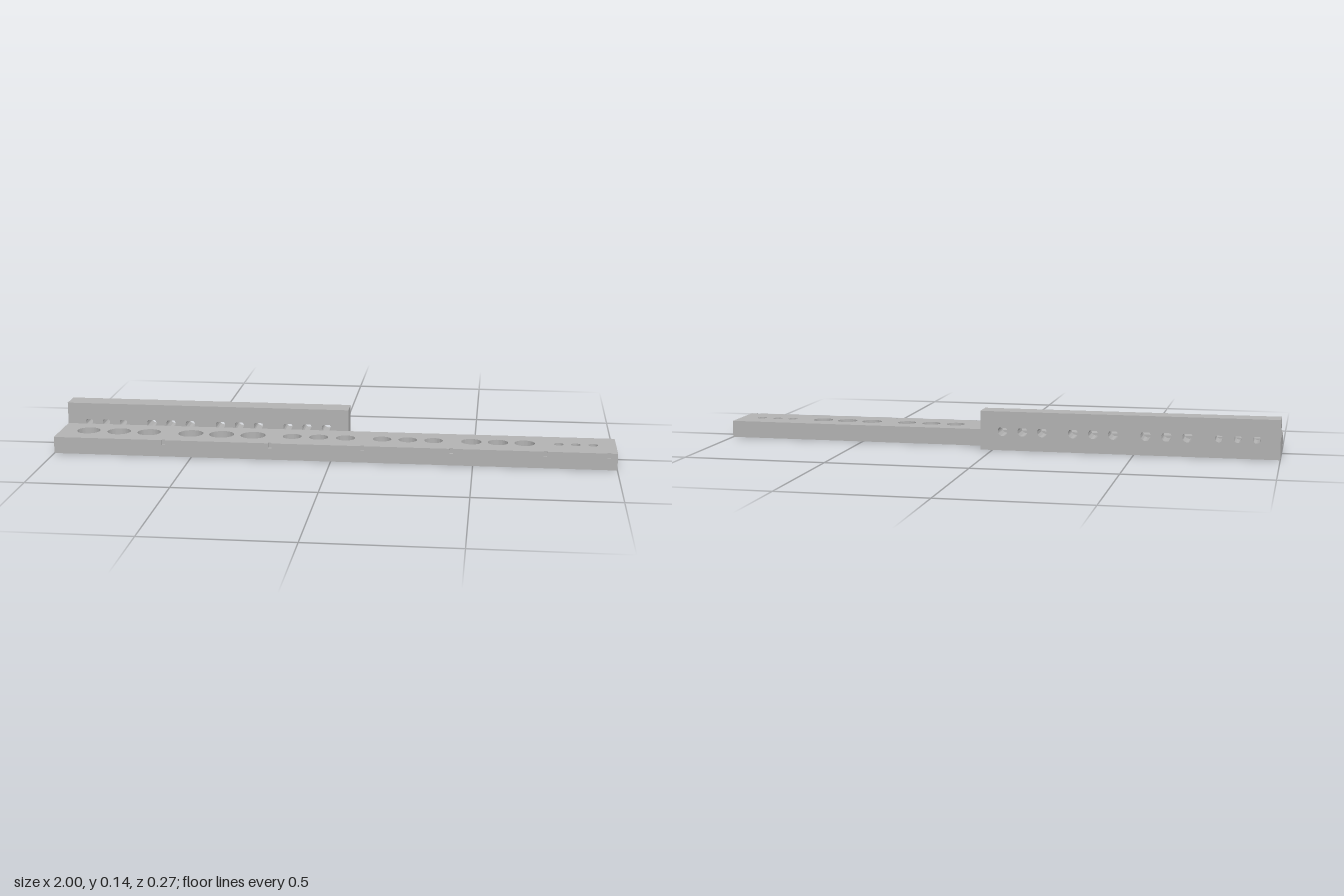
import * as THREE from 'three';
import { toCreasedNormals } from 'three/addons/utils/BufferGeometryUtils.js';

const BACK = -0.137, FRONT = 0.137, STEP = -0.058; // z limits
const BASE_H = 0.06, RAIL_H = 0.138, RAIL_END = 0.043;
const NOTCH_FLOOR = 0.042;

// Round holes in the base: x of each centre in a group of three, radius
const baseHoles = [
  [[-0.898, -0.785, -0.674], 0.042],
  [[-0.52, -0.407, -0.292], 0.045],
  [[-0.15, -0.054, 0.043], 0.034],
  [[0.174, 0.266, 0.358], 0.033],
  [[0.492, 0.586, 0.68], 0.036],
  [[0.8, 0.859, 0.92], 0.017],
];

// Teardrop holes in the rail
const railHoles = [
  [[-0.92, -0.856, -0.792], 0.0135],
  [[-0.685, -0.613, -0.541], 0.0175],
  [[-0.428, -0.358, -0.287], 0.0172],
  [[-0.178, -0.108, -0.037], 0.0172],
];

const notches = [-0.6, -0.217, 0.112, 0.425, 0.751, 0.97];

function extrude(shape, depth) {
  const g = new THREE.ExtrudeGeometry(shape, { depth, bevelEnabled: false, curveSegments: 24 });
  return toCreasedNormals(g, Math.PI / 6);
}

// One horizontal layer of the base, optionally with notches along its front edge
function baseLayer(y0, y1, notched) {
  const s = new THREE.Shape();
  s.moveTo(-1, -FRONT);
  if (notched) {
    const w = 0.006, d = 0.009;
    for (const x of notches) {
      s.lineTo(x - w, -FRONT);
      s.lineTo(x - w, -FRONT + d);
      s.lineTo(x + w, -FRONT + d);
      s.lineTo(x + w, -FRONT);
    }
  }
  s.lineTo(1, -FRONT);
  s.lineTo(1, -STEP);
  s.lineTo(-1, -STEP);
  s.closePath();
  for (const [xs, r] of baseHoles) {
    for (const x of xs) s.holes.push(new THREE.Path().absarc(x, -0.036, r, 0, Math.PI * 2, true));
  }
  return extrude(s, y1 - y0).rotateX(-Math.PI / 2).translate(0, y0, 0);
}

// Circle with a pointed, 45 degree roof
function teardrop(x, y, r) {
  const p = new THREE.Path();
  p.moveTo(x, y + r * Math.SQRT2);
  p.absarc(x, y, r, Math.PI * 0.75, Math.PI * 2.25, false);
  p.closePath();
  return p;
}

export function createModel() {
  const grey = new THREE.MeshStandardMaterial({ color: 0xb2b2b2 });
  grey.name = 'grey';
  const model = new THREE.Group();
  model.name = 'drilledHolder';
  const add = (name, geometry) => {
    const m = new THREE.Mesh(geometry, grey);
    m.name = name;
    model.add(m);
  };

  // Long base plate, notched only near its top
  add('basePlate', baseLayer(0, NOTCH_FLOOR, false));
  add('notchedBaseTop', baseLayer(NOTCH_FLOOR, BASE_H, true));

  // Upright rail along the back
  const rail = new THREE.Shape();
  rail.moveTo(-1, 0);
  rail.lineTo(RAIL_END, 0);
  rail.lineTo(RAIL_END, RAIL_H);
  rail.lineTo(-1, RAIL_H);
  rail.closePath();
  for (const [xs, r] of railHoles) {
    for (const x of xs) rail.holes.push(teardrop(x, 0.068, r));
  }
  add('backRail', extrude(rail, STEP - BACK).translate(0, 0, BACK));

  return model;
}
